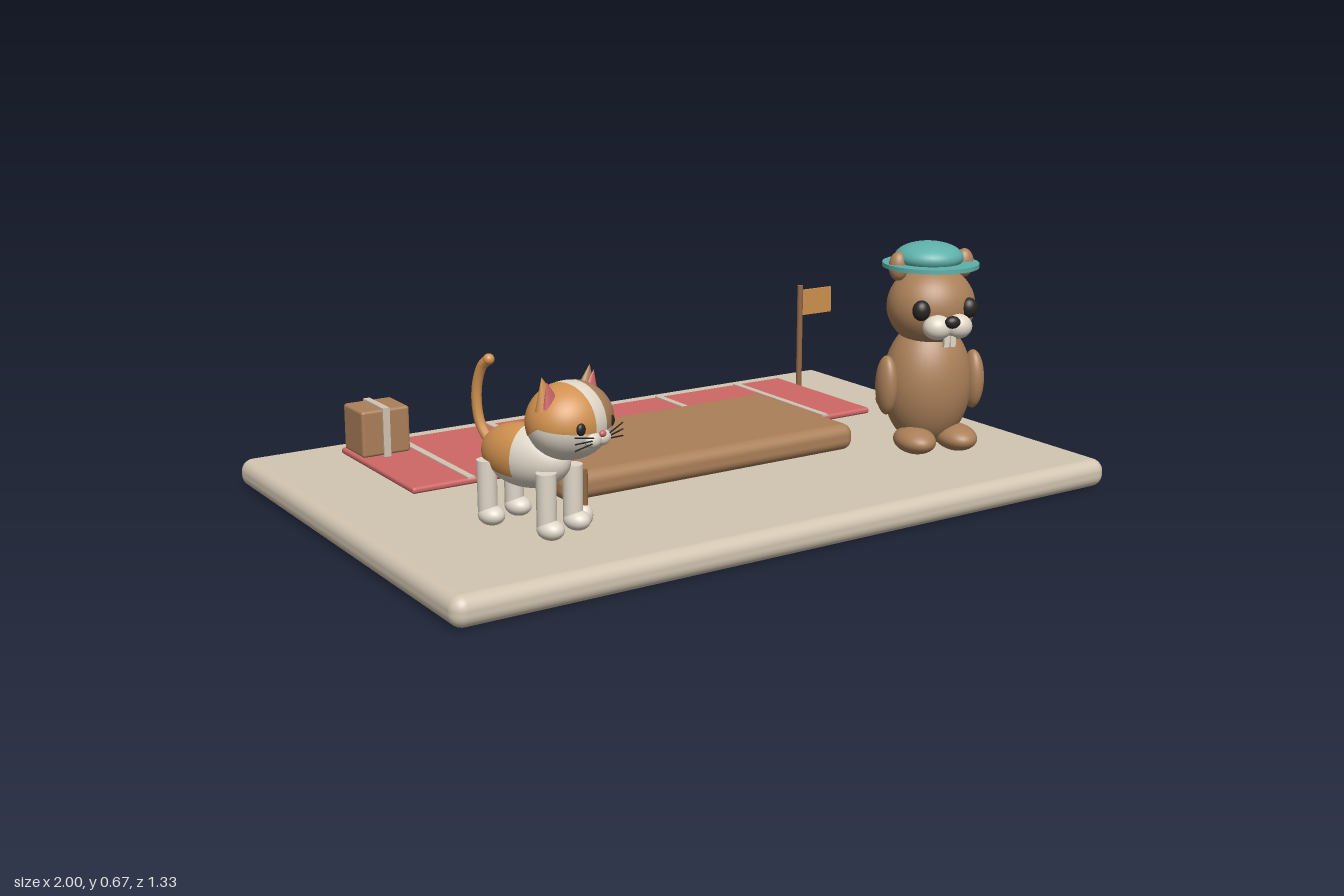
import * as THREE from 'three';
import { RoundedBoxGeometry } from 'three/addons/geometries/RoundedBoxGeometry.js';

const paint = (name, color) => {
  const m = new THREE.MeshStandardMaterial({ color });
  m.name = name;
  return m;
};

export function createModel() {
  const stone = paint('stone', 0xd2c5b1);
  const brown = paint('brown', 0xab8059);
  const darkBrown = paint('darkBrown', 0x936745);
  const orange = paint('orange', 0xd0914f);
  const red = paint('red', 0xce6867);
  const teal = paint('teal', 0x5fb0aa);
  const cream = paint('cream', 0xe0d7c8);
  const black = paint('black', 0x282422);

  const model = new THREE.Group();
  model.name = 'scene';

  // Helpers: each adds one named part to a parent
  const add = (parent, name, geo, mat, x = 0, y = 0, z = 0) => {
    const m = new THREE.Mesh(geo, mat);
    m.name = name;
    m.position.set(x, y, z);
    parent.add(m);
    return m;
  };
  const ball = (parent, name, mat, [x, y, z], [rx, ry, rz]) =>
    add(parent, name, new THREE.SphereGeometry(1, 36, 24).scale(rx, ry, rz), mat, x, y, z);
  const box = (parent, name, mat, [x, y, z], [w, h, d]) =>
    add(parent, name, new THREE.BoxGeometry(w, h, d), mat, x, y, z);
  const rounded = (parent, name, mat, [x, y, z], [w, h, d], r) =>
    add(parent, name, new RoundedBoxGeometry(w, h, d, 5, r), mat, x, y, z);
  const tube = (parent, name, mat, points, r, steps = 24) =>
    add(parent, name, new THREE.TubeGeometry(
      new THREE.CatmullRomCurve3(points.map(p => new THREE.Vector3(...p))), steps, r, 10), mat);
  const figure = (name, x, z, yaw) => {
    const g = new THREE.Group();
    g.name = name;
    g.position.set(x, 0, z);
    g.rotation.y = yaw;
    model.add(g);
    return g;
  };

  // Ground slab, path and platform
  rounded(model, 'ground', stone, [0, 0.039, 0], [2, 0.078, 1.33], 0.034);
  rounded(model, 'path', red, [0, 0.094, -0.295], [1.505, 0.018, 0.462], 0.008);
  for (let i = -2; i <= 2; i++)
    box(model, 'pathStripe', stone, [i * 0.292, 0.103, -0.295], [0.02, 0.006, 0.46]);
  rounded(model, 'platform', brown, [0, 0.12, -0.007], [0.935, 0.074, 0.455], 0.03);

  // Parcel with a strap around it
  rounded(model, 'parcel', brown, [-0.69, 0.176, -0.418], [0.14, 0.128, 0.124], 0.008);
  box(model, 'parcelStrap', stone, [-0.69, 0.176, -0.418], [0.02, 0.136, 0.132]);

  // Flag
  add(model, 'flagPole', new THREE.CylinderGeometry(0.009, 0.009, 0.33, 16), darkBrown, 0.755, 0.255, -0.42);
  box(model, 'flag', orange, [0.818, 0.365, -0.42], [0.114, 0.08, 0.008]);

  // Large animal with a flat tail and a hat
  const beaver = figure('beaver', 0.64, 0.315, -0.28);
  ball(beaver, 'body', brown, [0, 0.275, 0], [0.126, 0.178, 0.11]);
  ball(beaver, 'head', brown, [0, 0.495, 0.01], [0.123, 0.112, 0.112]);
  ball(beaver, 'tail', brown, [0, 0.175, -0.16], [0.065, 0.032, 0.115]);
  for (const s of [-1, 1]) {
    ball(beaver, 'foot', brown, [s * 0.062, 0.13, 0.065], [0.055, 0.036, 0.075]);
    ball(beaver, 'arm', brown, [s * 0.13, 0.28, 0.02], [0.029, 0.083, 0.042]);
    ball(beaver, 'ear', brown, [s * 0.098, 0.607, 0.005], [0.027, 0.04, 0.025]);
    ball(beaver, 'eye', black, [s * 0.07, 0.5, 0.1], [0.025, 0.028, 0.022]);
    ball(beaver, 'cheek', cream, [s * 0.03, 0.455, 0.118], [0.04, 0.034, 0.036]);
    box(beaver, 'tooth', cream, [s * 0.009, 0.418, 0.132], [0.016, 0.03, 0.01]);
  }
  ball(beaver, 'nose', black, [0, 0.473, 0.148], [0.022, 0.017, 0.015]);
  add(beaver, 'hatBrim', new THREE.CylinderGeometry(0.132, 0.132, 0.012, 40), teal, 0, 0.607, 0);
  ball(beaver, 'hatCrown', teal, [-0.004, 0.627, -0.004], [0.094, 0.043, 0.094]);

  // Patched cat
  const cat = figure('cat', -0.63, 0.32, 0.34);
  ball(cat, 'body', cream, [0, 0.265, 0], [0.07, 0.078, 0.13]);
  const saddle = new THREE.SphereGeometry(1.012, 36, 20, Math.PI * 1.5 - 2.1, 4.2, 1.5, Math.PI - 1.5);
  add(cat, 'backPatch', saddle.rotateX(Math.PI / 2).scale(0.07, 0.078, 0.13), orange, 0, 0.265, 0);
  const headAt = [0.005, 0.373, 0.135];
  const headSize = [0.112, 0.094, 0.098];
  ball(cat, 'head', cream, headAt, headSize);
  for (const s of [-1, 1]) {
    const fur = s > 0 ? brown : orange;
    // Face patch either side of a central blaze
    const patch = new THREE.SphereGeometry(1.012, 40, 20, -2.1, 3.8, s > 0 ? 0 : 1.74, 1.4);
    add(cat, 'headPatch', patch.rotateZ(-Math.PI / 2).scale(...headSize), fur, ...headAt);
    const ear = add(cat, 'ear', new THREE.ConeGeometry(0.036, 0.075, 20), fur, s * 0.077, 0.456, 0.13);
    ear.rotation.z = -s * 0.25;
    ear.scale.z = 0.6;
    const inner = add(cat, 'innerEar', new THREE.ConeGeometry(0.027, 0.06, 20), red, s * 0.077, 0.453, 0.144);
    inner.rotation.z = -s * 0.25;
    inner.scale.z = 0.5;
    ball(cat, 'eye', black, [s * 0.053, 0.375, 0.219], [0.013, 0.015, 0.009]);
    ball(cat, 'muzzle', cream, [s * 0.017, 0.343, 0.224], [0.024, 0.019, 0.018]);
    for (const k of [-1, 0, 1])
      tube(cat, 'whisker', black, [[s * 0.028, 0.346 + k * 0.006, 0.236],
        [s * 0.088, 0.348 + k * 0.016, 0.228]], 0.0018, 2);
    for (const z of [-0.085, 0.105]) {
      add(cat, 'leg', new THREE.CylinderGeometry(0.025, 0.024, 0.14, 20), cream, s * 0.048, 0.18, z);
      ball(cat, 'paw', cream, [s * 0.048, 0.112, z + 0.012], [0.03, 0.025, 0.036]);
    }
  }
  ball(cat, 'nose', red, [0, 0.358, 0.24], [0.01, 0.008, 0.007]);
  tube(cat, 'tail', orange, [[0, 0.26, -0.1], [0, 0.32, -0.148], [0, 0.4, -0.158],
    [0, 0.465, -0.138], [0, 0.485, -0.115]], 0.013);
  ball(cat, 'tailTip', orange, [0, 0.485, -0.115], [0.014, 0.014, 0.014]);

  // Small wand standing beside the cat
  add(model, 'wandStick', new THREE.CylinderGeometry(0.008, 0.008, 0.11, 12), darkBrown, -0.515, 0.175, 0.4);
  ball(model, 'wandEnd', cream, [-0.517, 0.115, 0.4], [0.022, 0.028, 0.022]);

  return model;
}
